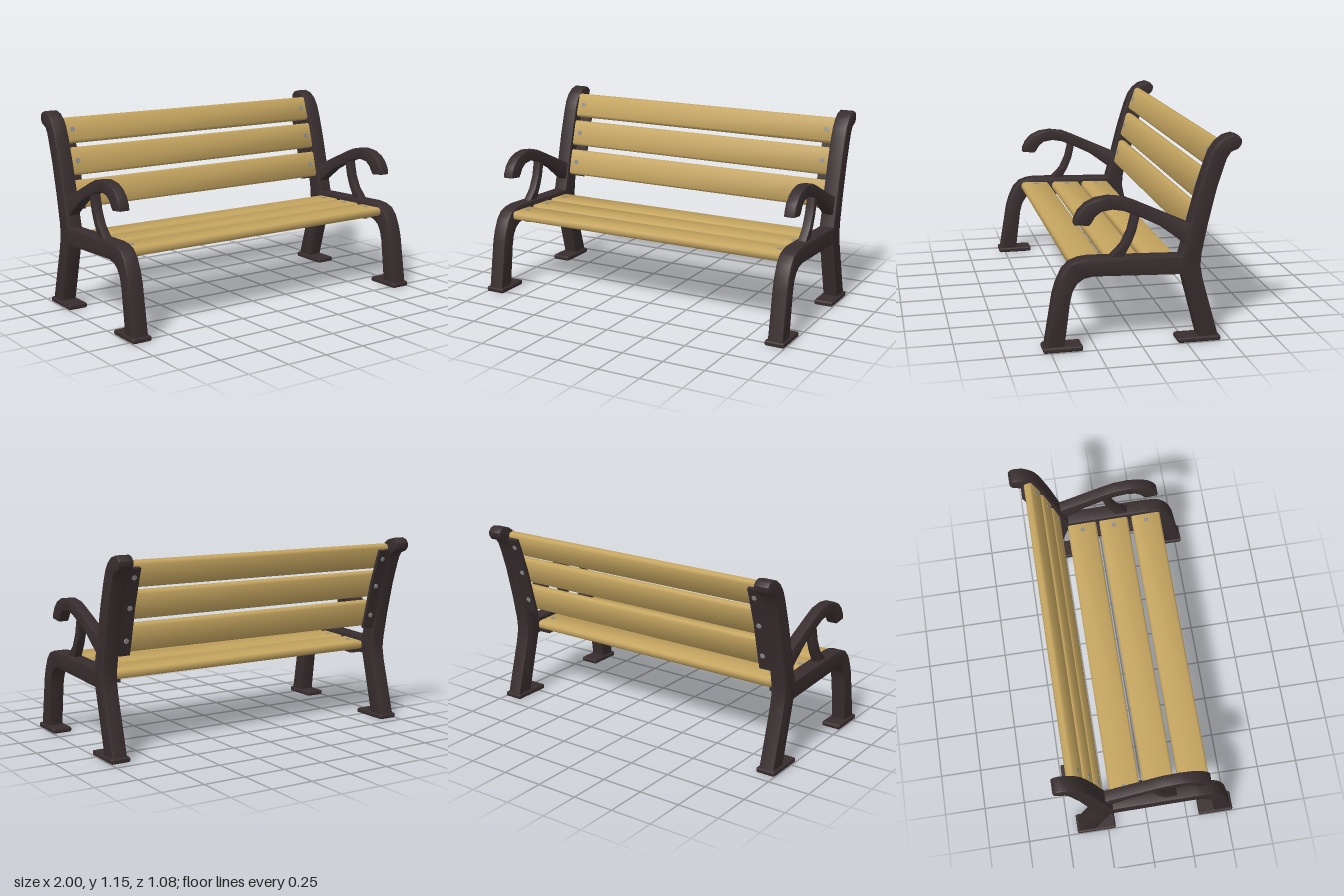
import * as THREE from 'three';
import { toCreasedNormals } from 'three/addons/utils/BufferGeometryUtils.js';
import { RoundedBoxGeometry } from 'three/addons/geometries/RoundedBoxGeometry.js';

const iron = new THREE.MeshStandardMaterial({ name: 'dark cast iron', color: 0x382d2e });
const wood = new THREE.MeshStandardMaterial({ name: 'golden wood', color: 0xc4a45f });
const steel = new THREE.MeshStandardMaterial({ name: 'bolt steel', color: 0x8e8e90 });

const SIDE_X = 0.941;
const SLAT_THICK = 0.05;

function mesh(name, geometry, material) {
  const m = new THREE.Mesh(geometry, material);
  m.name = name;
  return m;
}

// Extrudes a closed (z, y) outline along x, centred on x = 0, with bevelled edges.
function plate(points, width, bevel, crease = 0.6) {
  const shape = new THREE.Shape(points.map(([z, y]) => new THREE.Vector2(z, y)));
  const geo = new THREE.ExtrudeGeometry(shape, {
    depth: width - 2 * bevel,
    bevelEnabled: bevel > 0,
    bevelSize: bevel,
    bevelOffset: -bevel,
    bevelThickness: bevel,
    bevelSegments: 2,
  });
  geo.translate(0, 0, bevel - width / 2);
  geo.rotateY(-Math.PI / 2);
  return toCreasedNormals(geo, crease);
}

// Front leg, seat rail, rear leg and scrolled back post in one outline
const framePoints = [
  [0.426, 0.015], [0.53, 0.015], [0.48, 0.314], [0.462, 0.375], [0.43, 0.445], [0.39, 0.487],
  [0.338, 0.505], [0.283, 0.511], [-0.213, 0.493], [-0.232, 0.563], [-0.26, 0.68],
  [-0.305, 0.855], [-0.35, 1.0], [-0.374, 1.06], [-0.405, 1.103], [-0.444, 1.133],
  [-0.492, 1.146], [-0.52, 1.137], [-0.538, 1.115], [-0.536, 1.088], [-0.52, 1.067],
  [-0.48, 1.052], [-0.459, 1.021], [-0.444, 0.98], [-0.405, 0.855], [-0.36, 0.664],
  [-0.329, 0.503], [-0.323, 0.433], [-0.338, 0.354], [-0.434, 0.015], [-0.323, 0.015],
  [-0.223, 0.39], [0.265, 0.41], [0.317, 0.4], [0.353, 0.375], [0.377, 0.335], [0.392, 0.278],
];

// Curled armrest, running into the back post
const armPoints = [
  [-0.29, 0.687], [-0.253, 0.67], [0.029, 0.8], [0.09, 0.825], [0.177, 0.837], [0.247, 0.828],
  [0.302, 0.803], [0.341, 0.764], [0.362, 0.721], [0.365, 0.694], [0.286, 0.685],
  [0.271, 0.703], [0.253, 0.733], [0.22, 0.758], [0.159, 0.767], [0.095, 0.755],
  [0.01, 0.718], [-0.098, 0.664], [-0.232, 0.563], [-0.29, 0.525],
];

// Curved strut between seat rail and armrest
const strutPoints = [
  [0.05, 0.76], [0.056, 0.72], [0.074, 0.645], [0.11, 0.57], [0.174, 0.505], [0.18, 0.49],
  [0.09, 0.49], [0.095, 0.505], [0.056, 0.575], [0.03, 0.64], [0.012, 0.72], [0.005, 0.745],
];

// Straps that carry the slats
const seatStrapPoints = [[-0.21, 0.397], [0.31, 0.416], [0.31, 0.436], [-0.21, 0.417]];
const backStrapPoints = [
  [-0.306, 0.575], [-0.33, 0.66], [-0.378, 0.85], [-0.434, 1.02], [-0.455, 1.075],
  [-0.475, 1.068], [-0.454, 1.014], [-0.398, 0.845], [-0.35, 0.655], [-0.326, 0.57],
];

function buildSide(sign) {
  const side = new THREE.Group();
  side.name = sign > 0 ? 'leftSide' : 'rightSide';
  const add = (name, geo, x, y = 0, z = 0) => {
    const m = mesh(name, geo, iron);
    m.position.set(sign * x, y, z);
    side.add(m);
  };
  add('sideFrame', plate(framePoints, 0.091, 0.009), SIDE_X);
  add('armrest', plate(armPoints, 0.066, 0.007), SIDE_X - 0.003);
  add('armStrut', plate(strutPoints, 0.05, 0.005), SIDE_X - 0.003);
  add('frontFoot', new RoundedBoxGeometry(0.118, 0.03, 0.215, 2, 0.01), SIDE_X, 0.015, 0.433);
  add('rearFoot', new RoundedBoxGeometry(0.118, 0.03, 0.24, 2, 0.01), SIDE_X, 0.015, -0.322);
  add('seatStrap', plate(seatStrapPoints, 0.085, 0), 0.862);
  add('backStrap', plate(backStrapPoints, 0.085, 0), 0.862);
  return side;
}

// Chamfered plank with softly shaded faces and a through bolt near each end
function buildSlat(name, width, y, z, angle) {
  const slat = new THREE.Group();
  slat.name = name;
  const w = width / 2, t = SLAT_THICK / 2, c = 0.012;
  const outline = [
    [w - c, -t], [w, c - t], [w, t - c], [w - c, t],
    [c - w, t], [-w, t - c], [-w, c - t], [c - w, -t],
  ];
  slat.add(mesh('plank', plate(outline, 1.81, 0, 0.9), wood));
  for (const x of [-0.853, 0.853]) {
    const bolt = mesh('bolt', new THREE.CylinderGeometry(0.015, 0.015, SLAT_THICK + 0.029, 12), steel);
    bolt.position.set(x, -0.0115, 0);
    slat.add(bolt);
  }
  slat.position.set(0, y, z);
  slat.rotation.x = angle;
  return slat;
}

export function createModel() {
  const bench = new THREE.Group();
  bench.name = 'bench';
  bench.add(buildSide(1), buildSide(-1));

  // Seat slats, rising slightly to the front
  [-0.1275, 0.0775, 0.2875].forEach((z, i) => {
    bench.add(buildSlat('seatSlat', 0.185, 0.445 + i * 0.0065, z, -0.036));
  });

  // Back slats, leaning further back towards the top
  const half = Math.PI / 2;
  bench.add(
    buildSlat('backSlat', 0.164, 0.668, -0.305, half - 0.25),
    buildSlat('backSlat', 0.164, 0.856, -0.353, half - 0.27),
    buildSlat('backSlat', 0.153, 1.032, -0.41, half - 0.35),
  );
  return bench;
}
